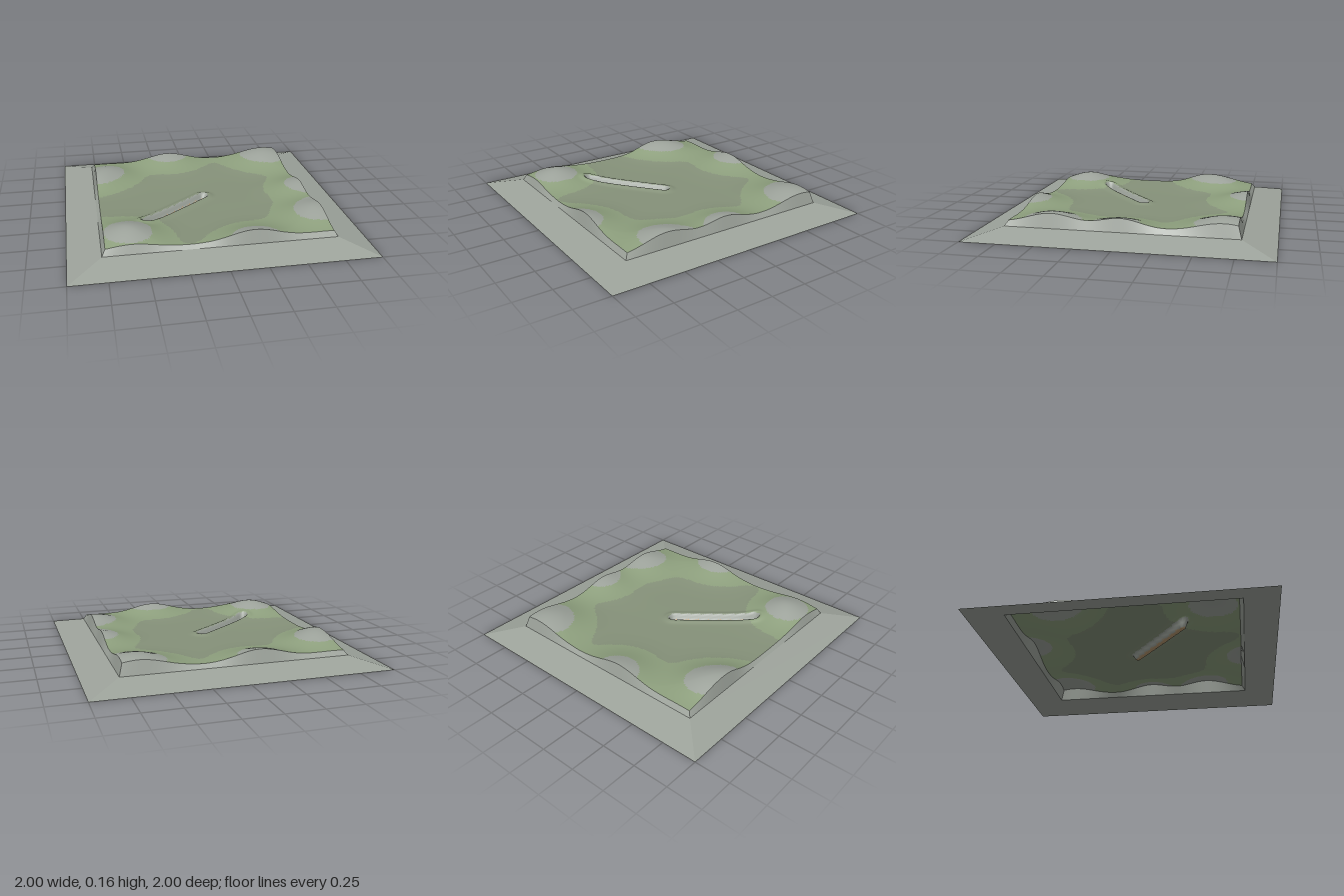
import * as THREE from 'three';

const material = (name, color) => new THREE.MeshStandardMaterial({ name, color, side: THREE.DoubleSide });
const INNER = 0.755, FOOT = 0.778, FOOT_Y = 0.057, CELLS = 130;

// Mounds round the rim: x, z, height, spread
const MOUNDS = [
  [-0.59, 0.58, 0.08, 0.14], [0.21, 0.8, 0.073, 0.155], [-0.15, -0.77, 0.07, 0.155],
  [0.65, -0.66, 0.078, 0.17], [-0.67, -0.48, 0.07, 0.14], [-0.76, -0.32, 0.03, 0.1],
  [0.73, 0.46, 0.074, 0.155], [0.76, 0, 0.066, 0.14],
];
const TRENCH_A = new THREE.Vector2(-0.45, 0.37), TRENCH_B = new THREE.Vector2(0.01, -0.005);
const TRENCH_DIR = TRENCH_B.clone().sub(TRENCH_A);

// Distance to the trench centre line
function trenchDistance(x, z) {
  const p = new THREE.Vector2(x, z).sub(TRENCH_A);
  const t = THREE.MathUtils.clamp(p.dot(TRENCH_DIR) / TRENCH_DIR.lengthSq(), 0, 1);
  return p.addScaledVector(TRENCH_DIR, -t).length();
}

// Ground without the trench: shallow bowl, ripples and mounds
function groundHeight(x, z) {
  const r = Math.min(Math.hypot(x, z) / 0.75, 1.1);
  let y = 0.071 + 0.007 * r ** 4 + 0.0015 * Math.sin(5 * x + 3 * z) * Math.cos(6 * z - 2 * x);
  for (const [mx, mz, h, s] of MOUNDS) {
    y += h * Math.exp(-((x - mx) ** 2 + (z - mz) ** 2) / (2 * s * s));
  }
  return y;
}

// Full surface: low banks beside a cut with a flat floor
function surfaceHeight(x, z) {
  const d = trenchDistance(x, z);
  const bank = groundHeight(x, z) + 0.012 * Math.exp(-(((d - 0.05) / 0.025) ** 2));
  return THREE.MathUtils.lerp(0.04, bank, THREE.MathUtils.smoothstep(d, 0.013, 0.04));
}

// Terrain sheet whose cells are sorted into one group per colour
function terrainGeometry() {
  const positions = [], buckets = [[], [], [], []];
  const at = (i) => -INNER + (2 * INNER * i) / CELLS;
  for (let j = 0; j <= CELLS; j++) {
    for (let i = 0; i <= CELLS; i++) {
      positions.push(at(i), surfaceHeight(at(i), at(j)), at(j));
    }
  }
  for (let j = 0; j < CELLS; j++) {
    for (let i = 0; i < CELLS; i++) {
      const x = at(i + 0.5), z = at(j + 0.5);
      const d = trenchDistance(x, z), y = groundHeight(x, z);
      let colour = y > 0.121 ? 2 : y > 0.082 ? 1 : 0;
      if (d < 0.042) colour = d < 0.016 ? 3 : 2;
      const a = j * (CELLS + 1) + i, b = a + 1, c = a + CELLS + 1, e = c + 1;
      buckets[colour].push(a, c, b, b, c, e);
    }
  }
  const geometry = new THREE.BufferGeometry();
  geometry.setAttribute('position', new THREE.Float32BufferAttribute(positions, 3));
  geometry.setIndex(buckets.flat());
  let start = 0;
  buckets.forEach((bucket, k) => {
    geometry.addGroup(start, bucket.length, k);
    start += bucket.length;
  });
  geometry.computeVertexNormals();
  return geometry;
}

// One side of a square ring, between a lower and an upper edge
function sideStrip(turn, lower, upper, steps) {
  const positions = [], index = [];
  const cos = Math.round(Math.cos(turn)), sin = Math.round(Math.sin(turn));
  for (let i = 0; i <= steps; i++) {
    const u = -1 + (2 * i) / steps;
    for (const edge of [lower, upper]) {
      const x = u * edge.half * cos + edge.half * sin;
      const z = -u * edge.half * sin + edge.half * cos;
      positions.push(x, edge.height(x, z), z);
    }
    if (i < steps) {
      const a = 2 * i;
      index.push(a, a + 2, a + 1, a + 1, a + 2, a + 3);
    }
  }
  const geometry = new THREE.BufferGeometry();
  geometry.setAttribute('position', new THREE.Float32BufferAttribute(positions, 3));
  geometry.setIndex(index);
  geometry.computeVertexNormals();
  return geometry;
}

export function createModel() {
  const model = new THREE.Group();
  model.name = 'terrainTile';
  const olive = material('olive grass', 0x86927a);
  const green = material('green grass', 0x8ea07e);
  const stone = material('grey stone', 0x9da39b);
  const earth = material('tan earth', 0xb8986f);

  const add = (name, geometry, mat) => {
    const mesh = new THREE.Mesh(geometry, mat);
    mesh.name = name;
    model.add(mesh);
  };

  add('ground', terrainGeometry(), [olive, green, stone, earth]);

  // Sloping border and the steep wall above it, on each side
  const outer = { half: 1, height: () => 0 };
  const foot = { half: FOOT, height: () => FOOT_Y };
  const rim = { half: INNER, height: surfaceHeight };
  ['front', 'left', 'back', 'right'].forEach((side, k) => {
    const turn = (k * Math.PI) / 2;
    add(side + 'Slope', sideStrip(turn, outer, foot, 1), stone);
    add(side + 'Wall', sideStrip(turn, foot, rim, CELLS), stone);
  });
  return model;
}
